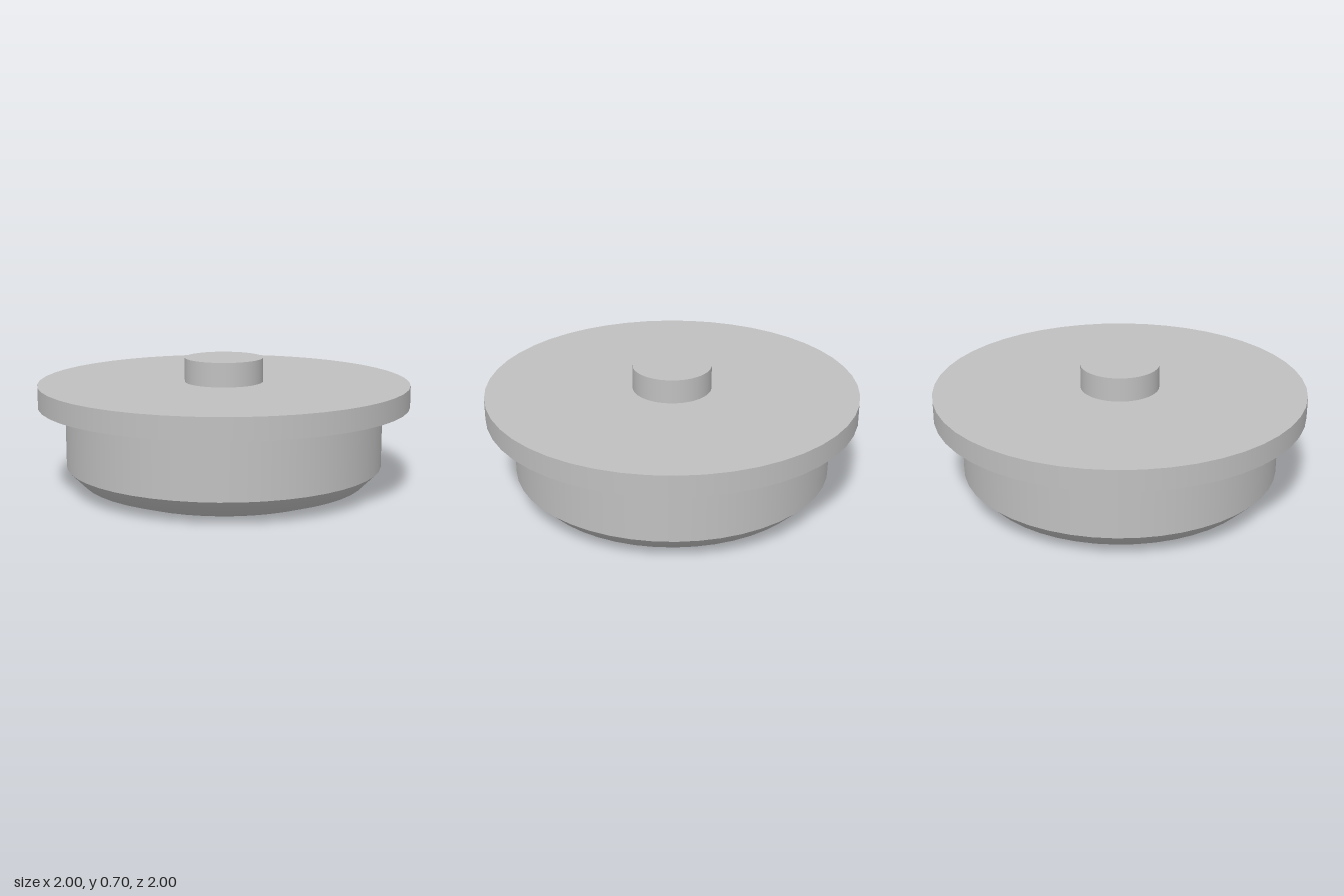
import * as THREE from 'three';

const SIDES = 48;

export function createModel() {
  const group = new THREE.Group();
  const grey = new THREE.MeshStandardMaterial({ color: 0xc0c0c0 });
  grey.name = 'light grey';

  function add(name, geometry, y = 0) {
    const mesh = new THREE.Mesh(geometry, grey);
    mesh.name = name;
    mesh.position.y = y;
    group.add(mesh);
  }

  // Upright disc between two heights
  function disc(name, radius, bottom, top, open = false) {
    const height = top - bottom;
    add(name, new THREE.CylinderGeometry(radius, radius, height, SIDES, 1, open), bottom + height / 2);
  }

  // Smoothly rounded underside, with a crisp edge where it meets the wall
  const profile = [[0, 0], [0.64, 0], [0.77, 0.045], [0.855, 0.13]];
  add('roundedBase', new THREE.LatheGeometry(profile.map(([r, y]) => new THREE.Vector2(r, y)), SIDES));

  // Straight wall, overhanging lid and central knob
  disc('bodyWall', 0.855, 0.13, 0.46, true);
  disc('lid', 1, 0.46, 0.575);
  disc('knob', 0.212, 0.575, 0.705);

  return group;
}
